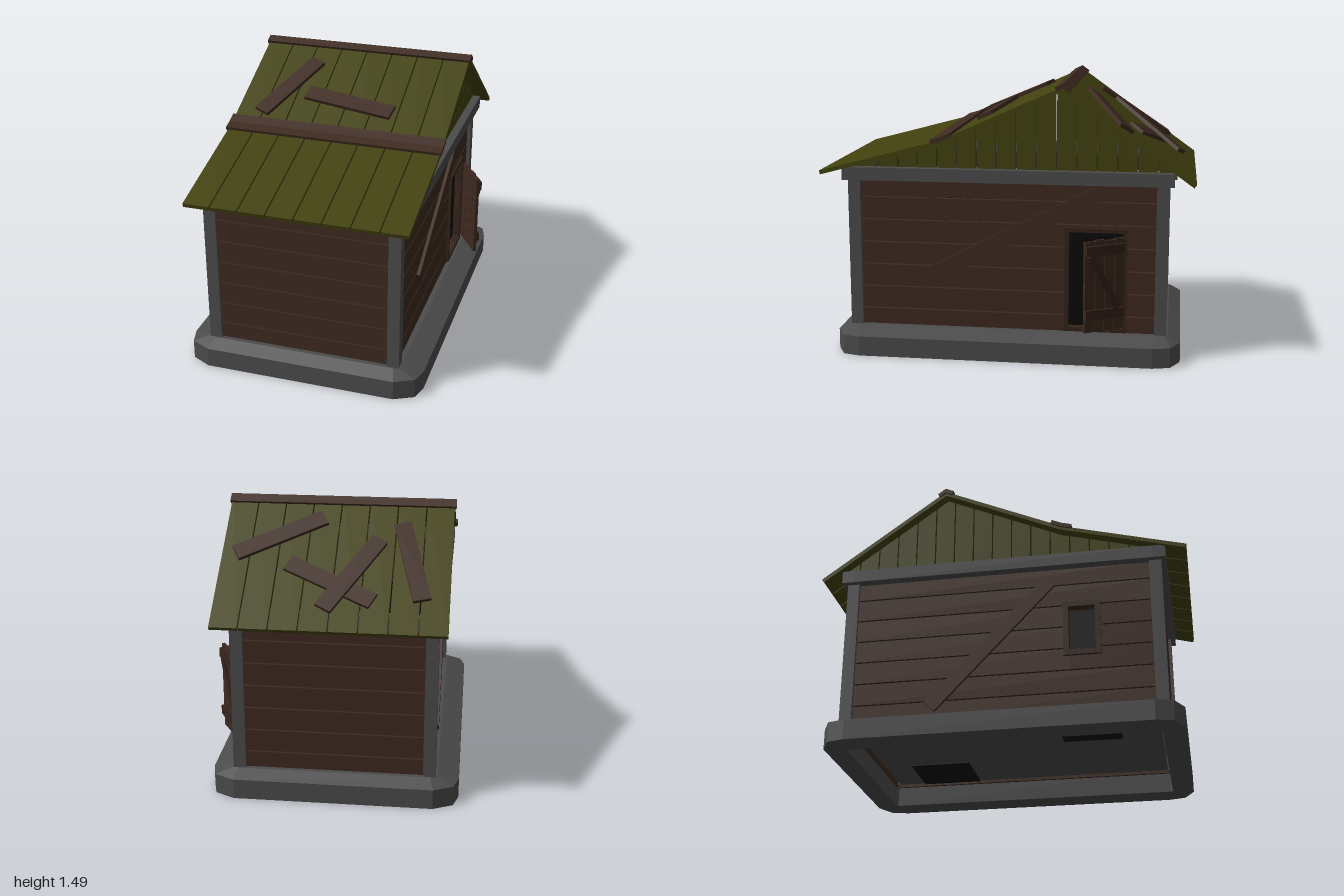
import * as THREE from 'three';

const mat = (color) => new THREE.MeshStandardMaterial({ color, flatShading: true, roughness: 1, side: THREE.DoubleSide });
const V = (x, y, z) => new THREE.Vector3(x, y, z);
const CX = -0.013; // centre of the walls in x

// Roof profile as [z, y], front eave to back eave
const ROOF = [[1, 1.01], [0.34, 1.185], [-0.31, 1.475], [-1, 0.98]];
function roofY(z) {
  const i = z > ROOF[1][0] ? 0 : z > ROOF[2][0] ? 1 : 2;
  const [a, b] = [ROOF[i], ROOF[i + 1]];
  return a[1] + (b[1] - a[1]) * (z - a[0]) / (b[0] - a[0]);
}
function slopeNormal(z) {
  return V(0, 1, -(roofY(z + 0.01) - roofY(z - 0.01)) / 0.02).normalize();
}

export function createModel() {
  const root = new THREE.Group();
  const stone = mat(0x4c4c4c), wood = mat(0x3e2a20), darkWood = mat(0x35231a);
  const green = mat(0x42420f), black = mat(0x090909);

  const group = (name, parent = root) => {
    const g = new THREE.Group();
    g.name = name;
    parent.add(g);
    return g;
  };
  // Box given by its limits
  const box = (name, m, x0, x1, y0, y1, z0, z1, parent = root) => {
    const mesh = new THREE.Mesh(new THREE.BoxGeometry(x1 - x0, y1 - y0, z1 - z0), m);
    mesh.name = name;
    mesh.position.set((x0 + x1) / 2, (y0 + y1) / 2, (z0 + z1) / 2);
    parent.add(mesh);
    return mesh;
  };
  // Plank whose upper face runs from a to b, facing n
  const plank = (name, m, a, b, n, width, thick, parent = root) => {
    const d = b.clone().sub(a), len = d.length();
    d.normalize();
    const up = n.clone().addScaledVector(d, -n.dot(d)).normalize();
    const mesh = new THREE.Mesh(new THREE.BoxGeometry(len, thick, width), m);
    mesh.name = name;
    mesh.quaternion.setFromRotationMatrix(new THREE.Matrix4().makeBasis(d, up, d.clone().cross(up)));
    mesh.position.copy(a).add(b).multiplyScalar(0.5).addScaledVector(up, -thick / 2);
    parent.add(mesh);
  };

  // Stone footing: a ring with cut corners and a sloping top
  const loop = (hx, hz, c, y) => {
    const q = [[hx, hz - c], [hx - c * 0.18, hz - c * 0.36], [hx - c * 0.9, hz]];
    return [[1, 1], [-1, 1], [-1, -1], [1, -1]].flatMap(([sx, sz]) =>
      (sx * sz > 0 ? q : [...q].reverse()).map(([x, z]) => [CX + sx * x, y, sz * z]));
  };
  const loops = [loop(0.497, 0.82, 0.01, 0), loop(0.653, 0.938, 0.145, 0), loop(0.653, 0.938, 0.145, 0.108),
    loop(0.54, 0.87, 0.04, 0.145), loop(0.497, 0.82, 0.01, 0.145), loop(0.497, 0.82, 0.01, 0)];
  const pos = [];
  for (let s = 0; s < loops.length - 1; s++) {
    for (let i = 0; i < 12; i++) {
      const j = (i + 1) % 12;
      const a = loops[s][i], b = loops[s][j], c = loops[s + 1][i], d = loops[s + 1][j];
      pos.push(...a, ...c, ...b, ...c, ...d, ...b);
    }
  }
  const footGeo = new THREE.BufferGeometry();
  footGeo.setAttribute('position', new THREE.Float32BufferAttribute(pos, 3));
  footGeo.computeVertexNormals();
  const footing = new THREE.Mesh(footGeo, stone);
  footing.name = 'footing';
  root.add(footing);
  box('floor', stone, CX - 0.475, CX + 0.475, 0.125, 0.135, -0.8, 0.8);

  // Corner posts and top plates
  for (const sx of [-1, 1]) {
    for (const sz of [-1, 1]) {
      const x = CX + sx * 0.5, z = sz * 0.83;
      box('cornerPost', stone, x - 0.033, x + 0.033, 0.12, 0.96, z - 0.033, z + 0.033);
    }
    box('sidePlate', stone, CX + sx * 0.53 - 0.035, CX + sx * 0.53 + 0.035, 0.955, 1.025, -0.82, 0.82);
    box('endPlate', stone, CX - 0.565, CX + 0.565, 0.955, 1.025, sx * 0.853 - 0.035, sx * 0.853 + 0.035);
  }

  // Plank walls; side planks are cut around their opening (z0, z1, y0, y1)
  const walls = group('walls');
  const holes = { 1: [-0.625, -0.335, 0.17, 0.695], '-1': [0.36, 0.5, 0.47, 0.72] };
  for (let r = 0; r < 7; r++) {
    const y0 = r ? 0.114 + r * 0.1247 : 0.11, y1 = Math.min(0.114 + (r + 1) * 0.1247 - 0.007, 0.96);
    for (const s of [-1, 1]) {
      box('endWallPlank', wood, CX - 0.48, CX + 0.48, y0, y1, s * 0.83 - 0.015, s * 0.83 + 0.015, walls);
      const [h0, h1, b, t] = holes[s];
      const side = (ya, yb, za, zb) => {
        if (yb - ya > 0.002) box('sideWallPlank', wood, CX + s * 0.497 - 0.015, CX + s * 0.497 + 0.015, ya, yb, za, zb, walls);
      };
      if (y1 < b || y0 > t) side(y0, y1, -0.81, 0.81);
      else {
        side(y0, y1, -0.81, h0);
        side(y0, y1, h1, 0.81);
        side(y0, b, h0, h1);
        side(t, y1, h0, h1);
      }
    }
  }

  // Dark recesses behind the door and the window
  box('doorRecess', black, 0.13, 0.465, 0.12, 0.715, -0.645, -0.31);
  box('windowRecess', black, -0.475, -0.11, 0.12, 0.725, 0.27, 0.59);

  // Door and window frames
  const frame = (name, s, w) => {
    const g = group(name), [z0, z1, y0, y1] = holes[s];
    const xa = CX + s * 0.505 - 0.022, xb = xa + 0.044;
    box('frameTop', darkWood, xa, xb, y1, y1 + w, z0 - w, z1 + w, g);
    box('frameSill', darkWood, xa, xb, y0 - w, y0, z0 - w, z1 + w, g);
    box('frameJamb', darkWood, xa, xb, y0, y1, z0 - w, z0, g);
    box('frameJamb', darkWood, xa, xb, y0, y1, z1, z1 + w, g);
  };
  frame('doorFrame', 1, 0.022);
  frame('windowFrame', -1, 0.03);

  // Open door, hinged at the back jamb
  const door = group('door');
  door.position.set(0.527, 0, -0.628);
  door.rotation.y = 0.56;
  for (let i = 0; i < 4; i++) {
    const top = 0.68 - (i % 2) * 0.006;
    box('doorPlank', wood, -0.009, 0.009, 0.185, top, i * 0.059, i * 0.059 + 0.056, door);
  }
  for (const y of [0.255, 0.6]) box('doorBatten', darkWood, 0.009, 0.025, y, y + 0.052, 0.004, 0.232, door);
  plank('doorBrace', darkWood, V(0.023, 0.6, 0.205), V(0.023, 0.307, 0.04), V(1, 0, 0), 0.04, 0.014, door);

  // Diagonal boards nailed across the side walls
  plank('wallBrace', wood, V(CX + 0.53, 0.433, 0.42), V(CX + 0.53, 0.907, -0.5), V(1, 0, 0), 0.085, 0.02);
  plank('wallBrace', wood, V(CX - 0.53, 0.2, -0.38), V(CX - 0.53, 0.88, 0.26), V(-1, 0, 0), 0.075, 0.02);

  // Gable boards cut to the roof line
  const gables = group('gables');
  for (let k = -9; k <= 7; k++) {
    const z0 = Math.max(0.057 + k * 0.107, -0.9), z1 = Math.min(0.157 + k * 0.107, 0.87);
    const cuts = [z1, ...ROOF.map((p) => p[0]).filter((z) => z > z0 && z < z1), z0];
    const shape = new THREE.Shape([[z0, 0.99], [z1, 0.99], ...cuts.map((z) => [z, Math.max(roofY(z) - 0.02, 1)])]
      .map(([z, y]) => new THREE.Vector2(z, y)));
    const geo = new THREE.ExtrudeGeometry(shape, { depth: 0.02, bevelEnabled: false }).rotateY(-Math.PI / 2);
    for (const x of [CX + 0.52, CX - 0.5]) {
      const m = new THREE.Mesh(geo, green);
      m.name = 'gableBoard';
      m.position.x = x;
      gables.add(m);
    }
  }

  // Roof boards on the three slopes
  const roof = group('roof');
  for (let s = 0; s < 3; s++) {
    const [za, ya] = ROOF[s], [zb, yb] = ROOF[s + 1];
    const n = slopeNormal((za + zb) / 2);
    for (let i = 0; i < 8; i++) {
      const x = (i - 3.5) * 0.149;
      plank('roofBoard', green, V(x, ya, za), V(x, yb, zb), n, 0.142, 0.022, roof);
    }
  }

  // Folded cap boards over the ridge and the change of slope
  for (const [i, w] of [[2, 0.045], [1, 0.052]]) {
    const z = ROOF[i][0];
    for (const s of [-1, 1]) {
      const zc = z + s * w / 2, n = slopeNormal(zc);
      const y = roofY(zc) + 0.016;
      plank(i === 2 ? 'ridgeCap' : 'seamCap', wood, V(-0.602, y, zc), V(0.6, y, zc), n, w * 1.12, 0.022, roof);
    }
  }

  // Loose repair boards: x0, z0, x1, z1, lift
  const patches = [[-0.45, 0.25, -0.25, -0.15, 0.025], [-0.235, 0.085, 0.27, 0.16, 0.025],
    [-0.455, -0.85, -0.33, -0.455, 0.025], [-0.21, -0.86, 0.24, -0.68, 0.022],
    [-0.22, -0.565, 0.035, -0.925, 0.045], [0.08, -0.435, 0.52, -0.64, 0.025]];
  for (const [x0, z0, x1, z1, lift] of patches) {
    plank('repairBoard', wood, V(x0, roofY(z0) + lift, z0), V(x1, roofY(z1) + lift, z1),
      slopeNormal((z0 + z1) / 2), 0.092, 0.02, roof);
  }
  return root;
}
